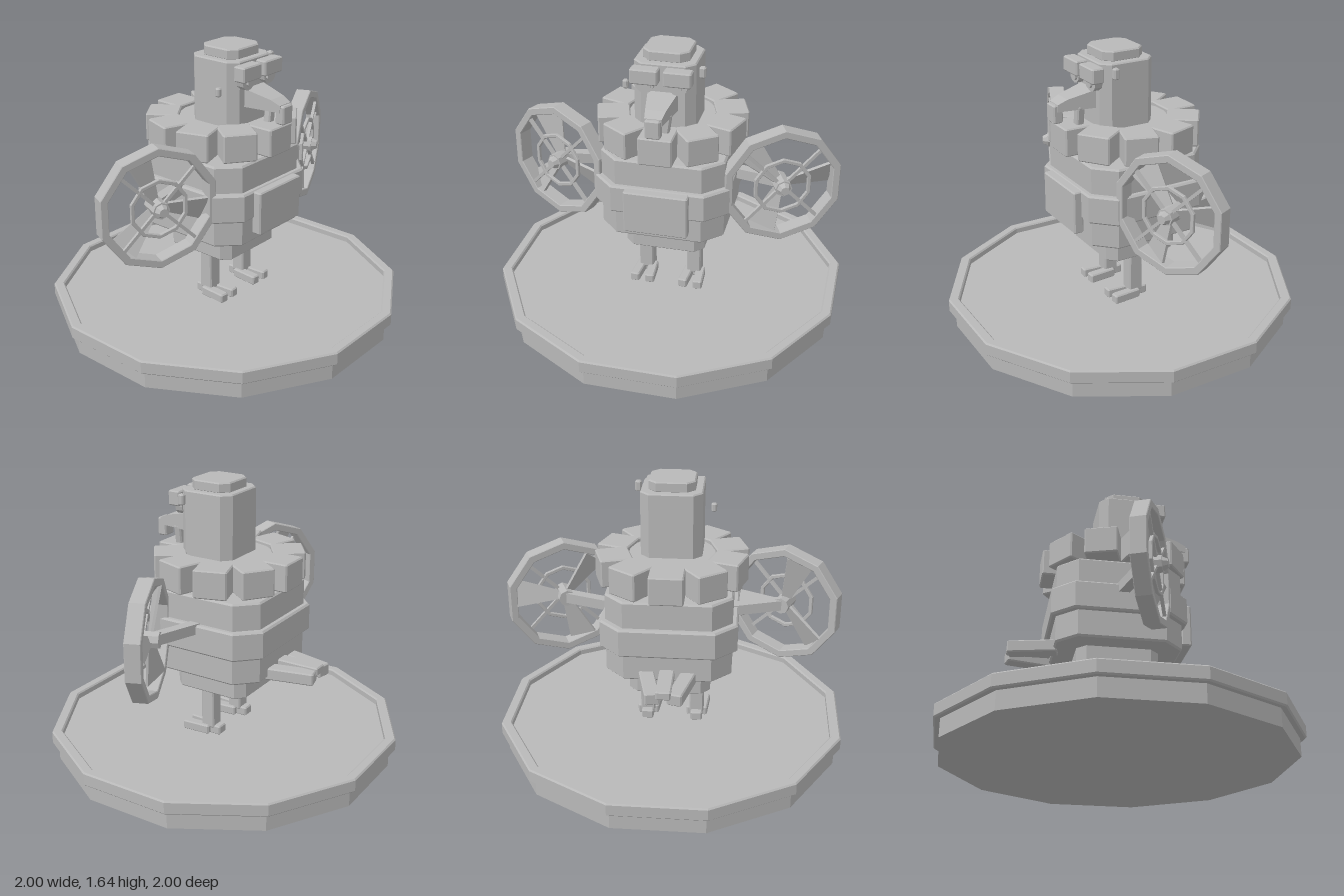
import * as THREE from 'three';

const grey = new THREE.MeshStandardMaterial({ color: 0xb8b8b8, flatShading: true });
grey.name = 'plain grey';

const RAD = Math.PI / 180;

function add(parent, name, geometry, x = 0, y = 0, z = 0) {
  const mesh = new THREE.Mesh(geometry, grey);
  mesh.name = name;
  mesh.position.set(x, y, z);
  parent.add(mesh);
  return mesh;
}

// Regular polygon outline, as points
function polygon(sides, radius, start) {
  return Array.from({ length: sides }, (_, i) => {
    const a = start + (i / sides) * Math.PI * 2;
    return new THREE.Vector2(Math.cos(a) * radius, Math.sin(a) * radius);
  });
}

// Flat ring with straight sides, centred on its axis z
function polyRing(sides, outer, inner, depth, start, bevel = 0.004) {
  const shape = new THREE.Shape(polygon(sides, outer, start));
  shape.holes.push(new THREE.Path(polygon(sides, inner, start)));
  const g = new THREE.ExtrudeGeometry(shape, {
    depth: depth - 2 * bevel, bevelThickness: bevel, bevelSize: bevel, bevelOffset: -bevel, bevelSegments: 1,
  });
  return g.translate(0, 0, bevel - depth / 2);
}

// Upright block with cut corners and a fine bevel, standing on y = 0
function block(w, h, d, cut = 0.008, bevel = 0.007) {
  const x = w / 2, z = d / 2;
  const shape = new THREE.Shape([
    [x, -z + cut], [x, z - cut], [x - cut, z], [-x + cut, z],
    [-x, z - cut], [-x, -z + cut], [-x + cut, -z], [x - cut, -z],
  ].map(p => new THREE.Vector2(...p)));
  const g = new THREE.ExtrudeGeometry(shape, {
    depth: h - 2 * bevel, bevelThickness: bevel, bevelSize: bevel, bevelOffset: -bevel, bevelSegments: 1,
  });
  return g.translate(0, 0, bevel).rotateX(-Math.PI / 2);
}

// Twelve-sided disc measured across its flats
function disc(apothem, h) {
  return new THREE.CylinderGeometry(apothem / Math.cos(15 * RAD), apothem / Math.cos(15 * RAD), h, 12, 1, false, 15 * RAD)
    .translate(0, h / 2, 0);
}

function makeBase() {
  const base = new THREE.Group();
  base.name = 'base';
  add(base, 'plinth', disc(0.965, 0.11), 0, 0.005);
  add(base, 'floor', disc(0.95, 0.04), 0, 0.108);
  const k = 1 / Math.cos(15 * RAD);
  add(base, 'rim', polyRing(12, k, 0.94 * k, 0.08, 15 * RAD, 0.008).rotateX(-Math.PI / 2), 0, 0.147);
  return base;
}

function makeLeg(side) {
  const leg = new THREE.Group();
  leg.name = side > 0 ? 'leftLeg' : 'rightLeg';
  leg.position.x = side * 0.147;
  add(leg, 'shin', block(0.085, 0.26, 0.085), 0, 0.185);
  for (const s of [-1, 1]) {
    const toe = add(leg, 'toe', block(0.055, 0.055, 0.17), s * 0.04, 0.146, 0.07);
    toe.rotation.y = s * 4 * RAD;
  }
  add(leg, 'heel', block(0.07, 0.055, 0.1), 0, 0.146, -0.03);
  return leg;
}

function makeTorso() {
  const torso = new THREE.Group();
  torso.name = 'torso';
  torso.position.z = -0.03;
  add(torso, 'hips', block(0.465, 0.16, 0.46, 0.05), 0, 0.435);
  add(torso, 'body', block(0.71, 0.475, 0.71, 0.11, 0.01), 0, 0.585);
  add(torso, 'belt', block(0.77, 0.165, 0.77, 0.12, 0.01), 0, 0.74);
  add(torso, 'bellyPlate', block(0.365, 0.25, 0.06), 0, 0.65, 0.4);
  // Ruff of ten blocks around a round collar
  add(torso, 'collar', new THREE.CylinderGeometry(0.255, 0.255, 0.16, 10), 0, 1.14);
  for (let i = 0; i < 10; i++) {
    const a = i * 36 * RAD;
    const tuft = add(torso, 'ruffBlock', block(0.19, 0.16, 0.185), Math.sin(a) * 0.333, 1.08, Math.cos(a) * 0.333);
    tuft.rotation.y = a;
  }
  // Tail of three feathers drawn together at the tips
  for (const s of [-1, 0, 1]) {
    const feather = add(torso, 'tailFeather', block(0.085, s ? 0.07 : 0.05, 0.28),
      s * 0.09, s ? 0.572 : 0.606, -0.463);
    feather.rotation.y = s * 13 * RAD;
  }
  return torso;
}

function makeHead() {
  const head = new THREE.Group();
  head.name = 'head';
  add(head, 'skull', block(0.345, 0.42, 0.33, 0.05), 0, 1.17, 0.035);
  add(head, 'cap', block(0.26, 0.06, 0.25, 0.045), 0, 1.585, 0.035);
  for (const s of [-1, 1]) {
    add(head, 'brow', block(0.155, 0.085, 0.075), s * 0.092, 1.49, 0.23);
    const eye = add(head, 'eye', new THREE.CylinderGeometry(0.052, 0.052, 0.045, 12), s * 0.092, 1.485, 0.215);
    eye.rotation.x = Math.PI / 2;
    const pupil = add(head, 'pupil', new THREE.CylinderGeometry(0.028, 0.028, 0.02, 10), s * 0.085, 1.477, 0.24);
    pupil.rotation.x = Math.PI / 2;
  }
  // Beak: side profile, narrowed towards the tip
  const profile = new THREE.Shape([[0.19, 1.33], [0.415, 1.33], [0.415, 1.37], [0.36, 1.395], [0.19, 1.435]]
    .map(p => new THREE.Vector2(...p)));
  const beak = new THREE.ExtrudeGeometry(profile, { depth: 0.17, bevelEnabled: false })
    .translate(0, 0, -0.085).rotateY(-Math.PI / 2);
  const p = beak.attributes.position;
  for (let i = 0; i < p.count; i++) p.setX(i, p.getX(i) * (1 - (p.getZ(i) - 0.19) * 2));
  beak.computeVertexNormals();
  add(head, 'beak', beak);
  add(head, 'beakHook', block(0.085, 0.105, 0.058), 0, 1.262, 0.409);
  const wattle = add(head, 'wattle', block(0.05, 0.12, 0.045), 0.03, 1.23, 0.282);
  wattle.rotation.z = -8 * RAD;
  // Small loose blocks hovering beside the head
  add(head, 'looseBlockLeft', block(0.036, 0.062, 0.036), 0.207, 1.515, 0.147);
  add(head, 'looseBlockRight', block(0.032, 0.05, 0.032), -0.225, 1.408, 0.137);
  return head;
}

function makeFan(side) {
  const wing = new THREE.Group();
  wing.name = side > 0 ? 'leftWing' : 'rightWing';

  // Arm from the body to the hub
  const from = new THREE.Vector3(side * 0.33, 0.88, -0.04);
  const to = new THREE.Vector3(side * 0.63, 0.89, 0.04);
  const arm = add(wing, 'arm', new THREE.BoxGeometry(0.06, 0.06, from.distanceTo(to)));
  arm.position.copy(from).add(to).multiplyScalar(0.5);
  arm.lookAt(to);

  const fan = new THREE.Group();
  fan.name = 'fan';
  fan.position.set(side * 0.647, 0.887, 0.07);
  fan.rotation.y = side * 23 * RAD;
  wing.add(fan);
  add(fan, 'outerRing', polyRing(10, 0.345, 0.3, 0.09, 90 * RAD));
  add(fan, 'guardRing', polyRing(10, 0.17, 0.148, 0.02, 90 * RAD, 0.003), 0, 0, 0.03);
  add(fan, 'hub', new THREE.CylinderGeometry(0.048, 0.048, 0.13, 8).rotateX(Math.PI / 2));
  add(fan, 'hubNose', new THREE.CylinderGeometry(0.025, 0.04, 0.03, 8).rotateX(Math.PI / 2), 0, 0, 0.08);

  // Guard spokes
  for (let i = 0; i < 4; i++) {
    const spoke = add(fan, 'spoke', new THREE.BoxGeometry(0.3, 0.018, 0.018).translate(0.165, 0, 0), 0, 0, 0.03);
    spoke.rotation.z = (45 + i * 90) * RAD;
  }

  // Three pitched blades, wider at the tip
  const outline = new THREE.Shape([[0.03, -0.025], [0.285, -0.08], [0.285, 0.08], [0.03, 0.025]]
    .map(q => new THREE.Vector2(...q)));
  const blade = new THREE.ExtrudeGeometry(outline, { depth: 0.016, bevelEnabled: false })
    .translate(0, 0, -0.008).rotateX(25 * RAD);
  for (let i = 0; i < 3; i++) {
    const b = add(fan, 'blade', blade, 0, 0, -0.01);
    b.rotation.z = ((side > 0 ? 10 : 108) + i * 120) * RAD;
  }
  return wing;
}

export function createModel() {
  const model = new THREE.Group();
  model.name = 'fanWingedBird';
  model.add(makeBase(), makeTorso(), makeHead());
  for (const side of [-1, 1]) model.add(makeLeg(side), makeFan(side));
  return model;
}
